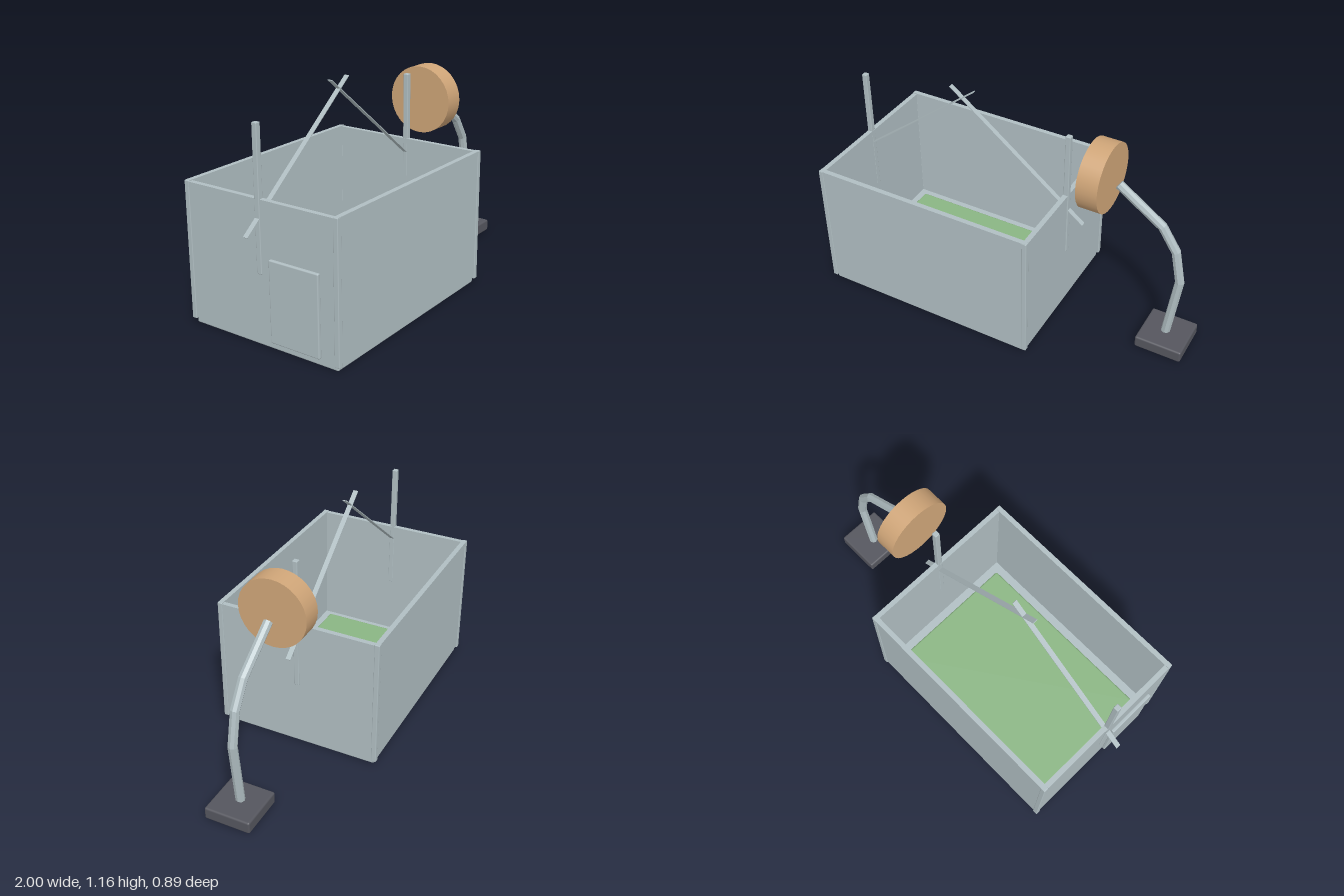
import * as THREE from 'three';
import { RoundedBoxGeometry } from 'three/addons/geometries/RoundedBoxGeometry.js';

const paint = (name, color) => {
  const m = new THREE.MeshStandardMaterial({ color });
  m.name = name;
  return m;
};

// Straight-segmented path: the tube rings land exactly on the given points
class BentPath extends THREE.Curve {
  constructor(points) { super(); this.points = points; }
  getPointAt(u) {
    return this.points[Math.round(u * (this.points.length - 1))].clone();
  }
  getTangentAt(u) {
    const p = this.points, i = Math.round(u * (p.length - 1));
    const dir = (a, b) => p[b].clone().sub(p[a]).normalize();
    const t = new THREE.Vector3();
    if (i > 0) t.add(dir(i - 1, i));
    if (i < p.length - 1) t.add(dir(i, i + 1));
    return t.normalize();
  }
}

export function createModel() {
  const model = new THREE.Group();
  model.name = 'penWithLamp';
  const metal = paint('paleMetal', 0xb0bec2);
  const green = paint('greenMat', 0x8ab583);
  const wood = paint('tanWood', 0xcfa578);
  const dark = paint('darkBase', 0x55565e);

  const add = (name, geometry, material, parent = model) => {
    const mesh = new THREE.Mesh(geometry, material);
    mesh.name = name;
    parent.add(mesh);
    return mesh;
  };
  // Box given by its limits on each axis, with optional rounded edges
  const box = (name, material, [x0, x1], [y0, y1], [z0, z1], r = 0, parent = model) => {
    const size = [x1 - x0, y1 - y0, z1 - z0];
    const g = r ? new RoundedBoxGeometry(...size, 2, r) : new THREE.BoxGeometry(...size);
    const mesh = add(name, g, material, parent);
    mesh.position.set((x0 + x1) / 2, (y0 + y1) / 2, (z0 + z1) / 2);
    return mesh;
  };

  // Open-topped pen, centred on its own x axis
  const pen = new THREE.Group();
  pen.name = 'pen';
  pen.position.x = -0.314;
  model.add(pen);
  box('floor', metal, [-0.59, 0.59], [0.005, 0.05], [-0.43, 0.43], 0.008, pen);
  box('mat', green, [-0.533, 0.533], [0.04, 0.07], [-0.373, 0.373], 0.01, pen);
  for (const s of [-1, 1]) {
    const span = (a, b) => (s > 0 ? [a, b] : [-b, -a]);
    box('longWall', metal, [-0.59, 0.59], [0.045, 0.725], span(0.421, 0.443), 0, pen);
    box('longRim', metal, [-0.6, 0.6], [0.71, 0.735], span(0.42, 0.446), 0, pen);
    box('endWall', metal, span(0.58, 0.601), [0.045, 0.725], [-0.43, 0.43], 0, pen);
    box('endRim', metal, span(0.578, 0.604), [0.705, 0.731], [-0.43, 0.43], 0, pen);
    for (const t of [-1, 1]) {
      const depth = t > 0 ? [0.42, 0.447] : [-0.447, -0.42];
      box('cornerPost', metal, span(0.578, 0.605), [0.03, 0.735], depth, 0.004, pen);
    }
    // Tall upright on each end wall
    box('upright', metal, span(0.579, 0.607), [0.37, 1.08], [-0.014, 0.014], 0.004, pen);
    // Thin sloping bars that cross above the pen
    const bar = add('crossBar', new THREE.BoxGeometry(0.96, 0.004, 0.026), metal, pen);
    bar.position.set(s * 0.311, 0.87, 0);
    bar.rotation.z = -s * Math.atan2(0.592, 0.755);
  }
  // Small door on the outside of one end wall
  box('door', metal, [-0.618, -0.598], [0.05, 0.46], [0.065, 0.345], 0.006, pen);

  // Round wooden disc facing sideways
  const disc = add('disc', new THREE.CylinderGeometry(0.181, 0.181, 0.112, 32), wood);
  disc.rotation.z = Math.PI / 2;
  disc.position.set(0.461, 0.915, 0);

  // Bent stand on a square foot
  box('standFoot', dark, [0.75, 1], [0.005, 0.07], [-0.123, 0.123], 0.01);
  const path = new BentPath([
    [0.866, 0.04], [0.91, 0.42], [0.873, 0.6], [0.792, 0.725], [0.553, 0.892],
  ].map(([x, y]) => new THREE.Vector3(x, y, 0)));
  const tube = new THREE.TubeGeometry(path, 4, 0.024, 8).toNonIndexed();
  tube.computeVertexNormals();
  add('standArm', tube, metal);
  const cap = add('armEnd', new THREE.CircleGeometry(0.024, 8), metal);
  cap.position.copy(path.getPointAt(1));
  cap.lookAt(cap.position.clone().add(path.getTangentAt(1)));

  return model;
}
